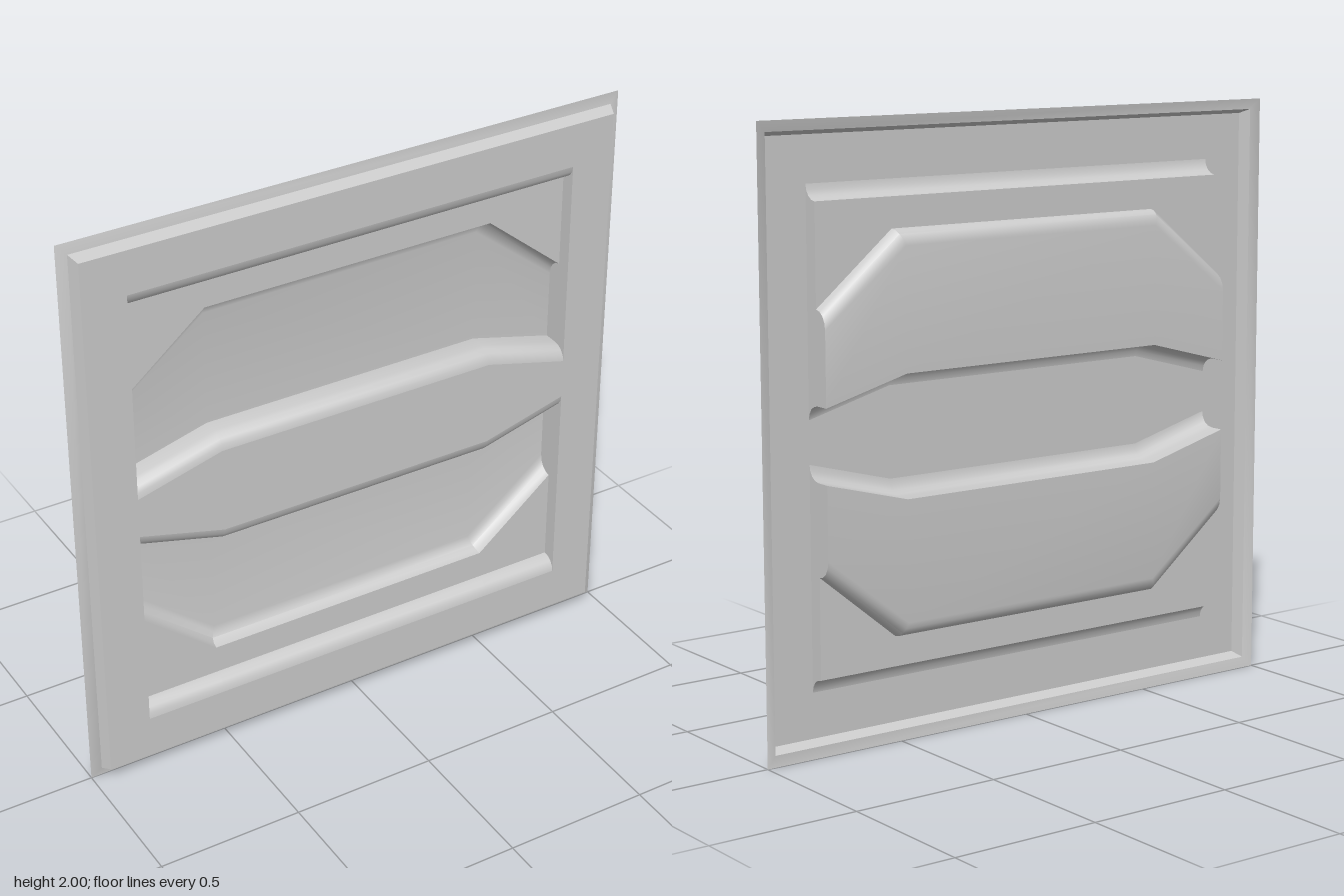
import * as THREE from 'three';
import { toCreasedNormals } from 'three/addons/utils/BufferGeometryUtils.js';

const FRONT = 0.05, DEEP = -0.05, HALF = 0.8, STEPS = 4;
const material = new THREE.MeshStandardMaterial({ color: 0xcccccc, side: THREE.DoubleSide });

function addMesh(group, geometry, name) {
  const mesh = new THREE.Mesh(geometry, material);
  mesh.name = name;
  group.add(mesh);
}

// Recess section, top to bottom, y measured from the panel centre.
// Each row: height in the middle, height at the sides, depth, x of the bend.
function recessRows() {
  const rows = [];
  const arc = (fn) => {
    for (let i = 0; i <= STEPS; i++) {
      const a = (i / STEPS) * Math.PI / 2;
      rows.push(fn(Math.sin(a), Math.cos(a)));
    }
  };
  // rolled upper lip, from the face down to the ledge
  arc((s, c) => [0.8 - 0.05 * s, 0.8 - 0.05 * s, 0.05 * c, 0.52]);
  // hollow wall, from the ledge down to the deep floor
  arc((s, c) => [0.6 + 0.05 * c, 0.36 + 0.06 * c, DEEP * s, 0.5 + 0.02 * c]);
  // straight wall beside the centre bar, then its rolled edge
  rows.push([0.2, 0.12, DEEP, 0.5]);
  arc((s, c) => [0.15 + 0.05 * c, 0.07 + 0.05 * c, FRONT * s, 0.5]);
  return rows;
}

// Surface lofted across x through the section rows
function recessGeometry(rows) {
  const positions = [], index = [];
  rows.forEach(([mid, side, z, bend], r) => {
    positions.push(-HALF, side, z, -bend, mid, z, bend, mid, z, HALF, side, z);
    if (r === 0) return;
    for (let c = 0; c < 3; c++) {
      const a = (r - 1) * 4 + c, b = a + 4;
      index.push(a, b, b + 1, a, b + 1, a + 1);
    }
  });
  const geometry = new THREE.BufferGeometry();
  geometry.setAttribute('position', new THREE.Float32BufferAttribute(positions, 3));
  geometry.setIndex(index);
  return toCreasedNormals(geometry, 0.5);
}

function createRecess(name) {
  const group = new THREE.Group();
  group.name = name;
  const rows = recessRows();
  addMesh(group, recessGeometry(rows), 'recessSurface');
  // upright end walls closing the section
  for (const s of [-1, 1]) {
    const outline = rows.map(([, side, z]) => new THREE.Vector2(s * z, side));
    const wall = new THREE.ShapeGeometry(new THREE.Shape(outline));
    wall.rotateY(-s * Math.PI / 2).translate(s * HALF, 0, 0);
    addMesh(group, wall, s > 0 ? 'leftEndWall' : 'rightEndWall');
  }
  return group;
}

function polygon(points) {
  return points.map(([x, y]) => new THREE.Vector2(x, y));
}

export function createModel() {
  const model = new THREE.Group();
  model.name = 'stampedPanel';
  const panel = new THREE.Group();
  panel.name = 'panel';
  panel.position.y = 1;
  model.add(panel);

  // raised face with two recess openings
  const e = 0.95;
  const face = new THREE.Shape(polygon([[-e, -e], [e, -e], [e, e], [-e, e]]));
  for (const s of [1, -1]) {
    const opening = [[-0.8, 0.8], [0.8, 0.8], [0.8, 0.07], [0.5, 0.15], [-0.5, 0.15], [-0.8, 0.07]];
    face.holes.push(new THREE.Path(polygon(opening.map(([x, y]) => [x, s * y]))));
  }
  addMesh(panel, new THREE.ShapeGeometry(face).translate(0, 0, FRONT), 'face');

  // square outer flange and the step up to the face
  const rim = [[1, 0], [0.965, 0.01], [e, FRONT]].map(([r, z]) => new THREE.Vector2(r * Math.SQRT2, z));
  const flange = new THREE.LatheGeometry(rim, 4, Math.PI / 4).rotateX(Math.PI / 2);
  addMesh(panel, toCreasedNormals(flange, 0.5), 'flange');

  // matching recesses above and below the centre bar
  const lower = createRecess('lowerRecess');
  lower.rotation.z = Math.PI;
  panel.add(createRecess('upperRecess'), lower);

  return model;
}
